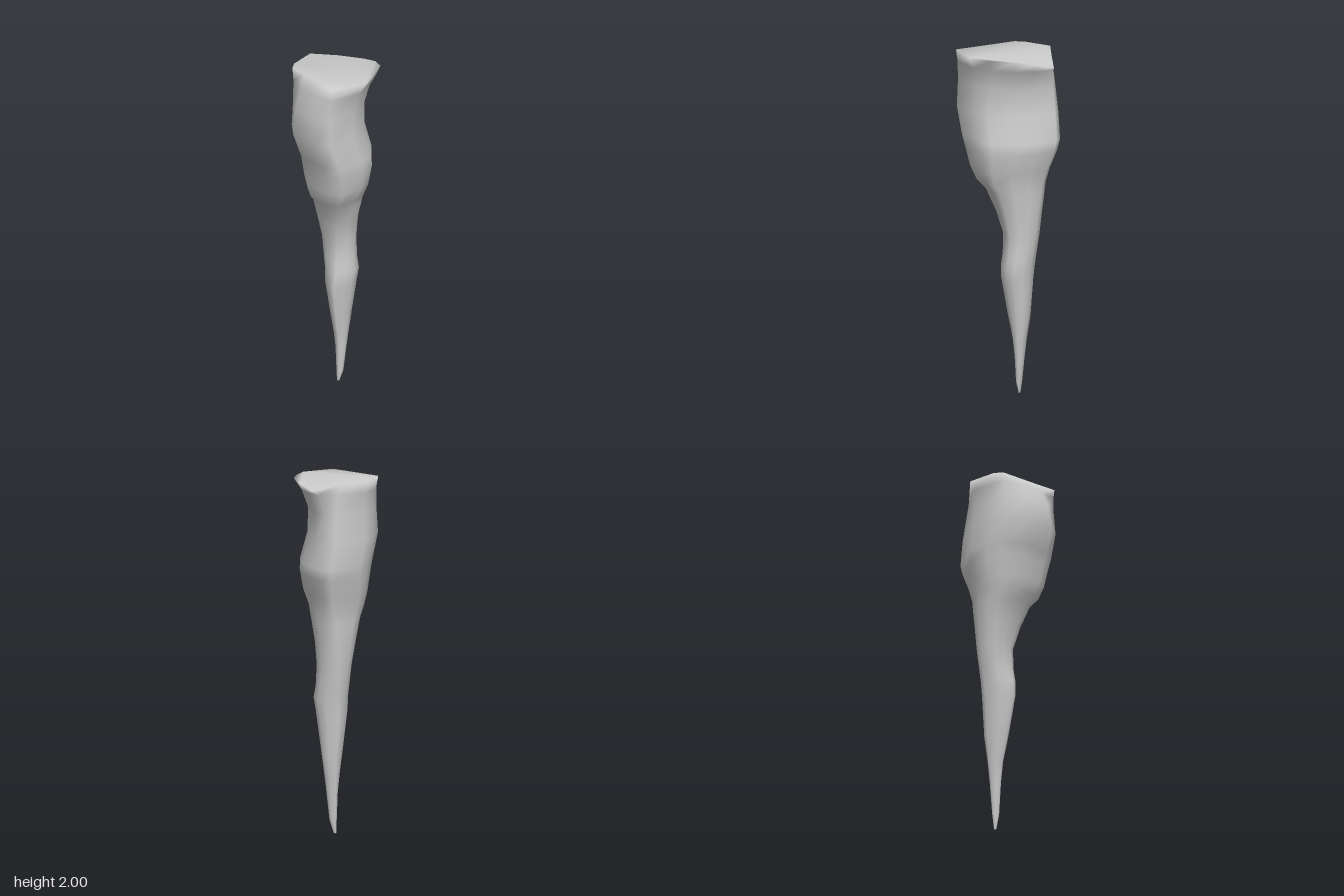
import * as THREE from 'three';

// Unit outlines [x, z], running left, front, right, back
const rim = [[-1, -.37], [-1, .22], [-.9, .42], [-.45, .6], [.05, .8], [.53, 1], [1, .38], [.94, -.08], [.78, -.5], [.48, -.78], [.05, -1], [-.45, -.69]];
const bulge = [[-1, -.42], [-1, .05], [-.93, .42], [-.56, .79], [.28, 1], [.7, .92], [.95, .35], [1, .02], [.69, -.42], [.28, -.76], [-.18, -1], [-.42, -.97]];
const spike = [[-1, -.48], [-.97, .1], [-.84, .52], [-.42, .88], [-.1, .98], [.1, 1], [.66, .57], [.97, .08], [1, -.5], [.58, -.86], [0, -1], [-.8, -.85]];
const outlines = [spike, bulge, rim];
const N = rim.length;

// Sections from the tip up: y, x min, x max, z min, z max, outline blend (0 spike, 1 bulge, 2 rim)
const sections = [
  [0, -.03, -.015, -.062, -.052, 0],
  [.08, -.033, .008, -.075, -.042, 0],
  [.25, -.04, .022, -.09, -.034, 0],
  [.36, -.05, .033, -.1, -.022, 0],
  [.5, -.063, .048, -.12, .01, 0],
  [.73, -.084, .08, -.13, .05, 0],
  [.81, -.09, .093, -.137, .042, .1],
  [.88, -.1, .082, -.142, .034, .25],
  [1, -.115, .078, -.155, .03, .45],
  [1.13, -.13, .096, -.168, .068, .6],
  [1.26, -.147, .132, -.185, .11, .8],
  [1.31, -.155, .15, -.192, .157, .9],
  [1.39, -.172, .18, -.215, .177, 1],
  [1.5, -.187, .196, -.258, .203, 1],
  [1.56, -.193, .195, -.272, .225, 1],
  [1.7, -.207, .167, -.248, .275, 1],
  [1.84, -.198, .162, -.24, .266, 1.15],
  [1.94, -.206, .185, -.258, .256, 1.65],
  [2, -.22, .218, -.275, .25, 2],
];

function createIcicleGeometry() {
  const pos = [], index = [];
  const last = sections.length - 1;
  sections.forEach(([y, x0, x1, z0, z1, t], j) => {
    const k = Math.min(Math.floor(t), 1), f = t - k;
    for (let i = 0; i < N; i++) {
      const a = outlines[k][i], b = outlines[k + 1][i];
      const ux = a[0] + (b[0] - a[0]) * f, uz = a[1] + (b[1] - a[1]) * f;
      // The back of the rim sags a little
      const drop = j === last ? [0, .015, .04, .015][Math.max(0, i - 8)] : 0;
      pos.push((x0 + x1) / 2 + ux * (x1 - x0) / 2, y - drop, (z0 + z1) / 2 + uz * (z1 - z0) / 2);
    }
  });
  for (let j = 0; j < last; j++) {
    for (let i = 0; i < N; i++) {
      const a = j * N + i, b = j * N + (i + 1) % N;
      index.push(a, b, b + N, a, b + N, a + N);
    }
  }
  // Flat caps: the tip, and the top fanned from its front right corner
  const r = last * N, hub = 6;
  for (let i = 1; i < N - 1; i++) {
    index.push(0, i + 1, i);
    index.push(r + hub, r + (hub + i) % N, r + (hub + i + 1) % N);
  }
  const geo = new THREE.BufferGeometry();
  geo.setAttribute('position', new THREE.Float32BufferAttribute(pos, 3));
  geo.setIndex(index);
  geo.computeVertexNormals();
  return geo;
}

export function createModel() {
  const group = new THREE.Group();
  group.name = 'icicle';
  const mesh = new THREE.Mesh(createIcicleGeometry(), new THREE.MeshStandardMaterial({ color: 0xcccccc }));
  mesh.name = 'icicleBody';
  group.add(mesh);
  return group;
}
